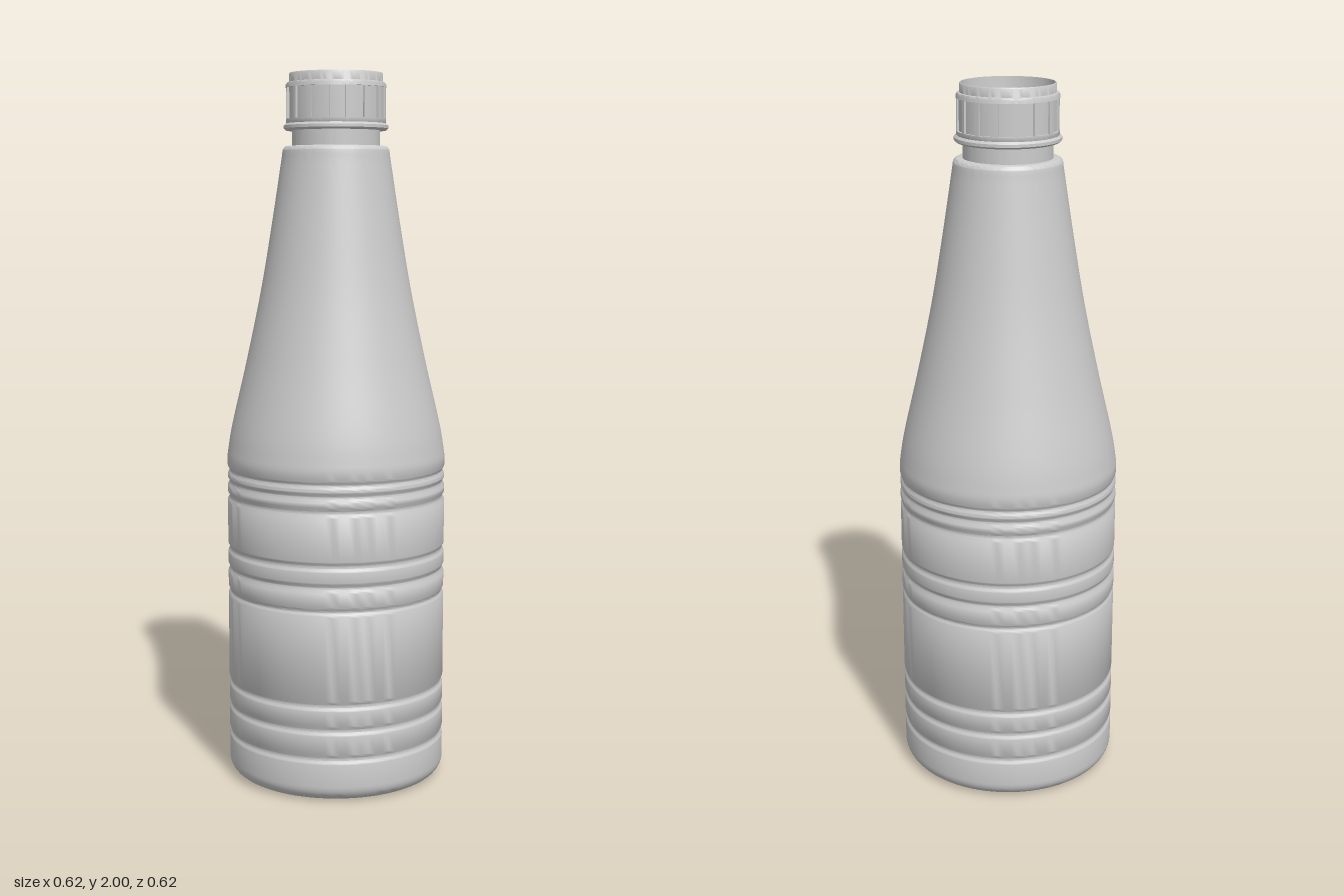
import * as THREE from 'three';
import { toCreasedNormals } from 'three/addons/utils/BufferGeometryUtils.js';

const plastic = new THREE.MeshStandardMaterial({ color: 0xcccccc });
plastic.name = 'light grey plastic';

const SEGMENTS = 96;

function addLathe(group, name, points) {
  const profile = points.map(([r, y]) => new THREE.Vector2(r, y));
  const geometry = toCreasedNormals(new THREE.LatheGeometry(profile, SEGMENTS), 0.6);
  const mesh = new THREE.Mesh(geometry, plastic);
  mesh.name = name;
  group.add(mesh);
}

// Quarter-round corner between two angles
function arc(cx, cy, radius, from, to, steps = 8) {
  return Array.from({ length: steps + 1 }, (_, i) => {
    const a = from + ((to - from) * i) / steps;
    return [cx + radius * Math.cos(a), cy + radius * Math.sin(a)];
  });
}

// Straight wall with shallow rounded grooves at the given heights
function groovedWall(radius, heights, depth, halfWidth) {
  const points = [];
  for (const y of heights) {
    for (let i = -4; i <= 4; i++) {
      const t = i / 4;
      const dip = depth * 0.5 * (1 + Math.cos(Math.PI * t));
      points.push([radius - dip, y + t * halfWidth]);
    }
  }
  return points;
}

// Gripping band: a ring of thin ribs around recessed panels
function gripBand(ribs, outer, inner, height) {
  const shape = new THREE.Shape();
  const pitch = (Math.PI * 2) / ribs;
  const half = pitch * 0.1;
  for (let i = 0; i < ribs; i++) {
    const a = i * pitch;
    const corners = [[inner, a - half], [outer, a - half], [outer, a + half], [inner, a + half]];
    for (let k = 1; k < 4; k++) corners.push([inner, a + half + ((pitch - 2 * half) * k) / 4]);
    corners.forEach(([r, b], k) => {
      const x = r * Math.cos(b), y = r * Math.sin(b);
      if (i === 0 && k === 0) shape.moveTo(x, y);
      else shape.lineTo(x, y);
    });
  }
  shape.closePath();
  const geometry = new THREE.ExtrudeGeometry(shape, { depth: height, bevelEnabled: false });
  geometry.rotateX(-Math.PI / 2);
  return toCreasedNormals(geometry, 0.5);
}

export function createModel() {
  const bottle = new THREE.Group();
  bottle.name = 'bottle';

  // Shoulder sweeping from the wall up to the neck
  const shoulder = new THREE.CatmullRomCurve3(
    [[0.311, 0.93], [0.3, 1.0], [0.254, 1.2], [0.212, 1.4], [0.178, 1.6], [0.151, 1.775]]
      .map(([r, y]) => new THREE.Vector3(r, y, 0)),
  ).getPoints(32).map((p) => [p.x, p.y]);

  // Recessed base, grooved wall, shoulder and neck
  const grooves = [0.124, 0.205, 0.275, 0.54, 0.607, 0.665, 0.815, 0.857, 0.889];
  addLathe(bottle, 'body', [
    [0, 0.03], [0.17, 0.03], [0.185, 0.024], [0.2, 0.01], [0.215, 0.002], [0.23, 0],
    ...arc(0.266, 0.045, 0.045, -Math.PI / 2, 0),
    ...groovedWall(0.311, grooves, 0.006, 0.015),
    ...shoulder,
    ...arc(0.135, 1.785, 0.015, 0.1, Math.PI / 2, 5),
    [0.123, 1.8], [0.123, 1.87],
  ]);

  const cap = new THREE.Group();
  cap.name = 'cap';
  bottle.add(cap);

  // Tamper ring under the cap
  addLathe(cap, 'tamperRing', [
    [0.12, 1.843], [0.14, 1.843], [0.146, 1.848], [0.146, 1.856], [0.14, 1.862], [0.12, 1.862],
  ]);

  // Lower rim of the cap
  addLathe(cap, 'capLowerRim', [
    [0.12, 1.86], [0.138, 1.86], [0.14, 1.864], [0.14, 1.874], [0.12, 1.874],
  ]);

  // Ribbed grip
  const grip = new THREE.Mesh(gripBand(16, 0.14, 0.134, 0.09), plastic);
  grip.name = 'capGrip';
  grip.position.y = 1.872;
  cap.add(grip);

  // Upper rim, raised lip and sunken top disc
  addLathe(cap, 'capTop', [
    [0.12, 1.96], [0.14, 1.96], [0.14, 1.968], [0.136, 1.974], [0.131, 1.975],
    [0.131, 1.997], [0.129, 2], [0.127, 2], [0.126, 1.97], [0, 1.97],
  ]);

  return bottle;
}
